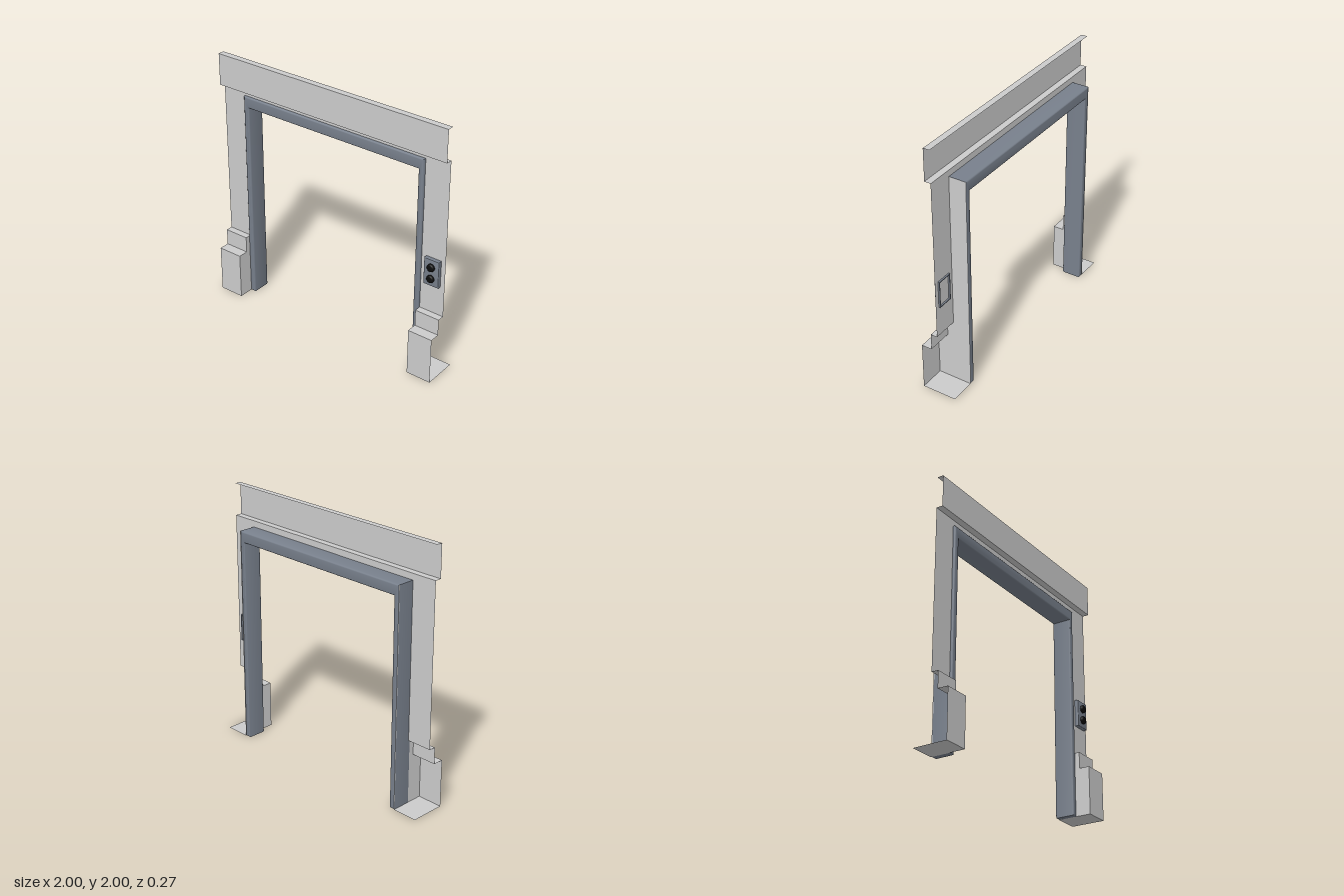
import * as THREE from 'three';
import { toCreasedNormals } from 'three/addons/utils/BufferGeometryUtils.js';

const grey = new THREE.MeshStandardMaterial({ color: 0xcccccc, side: THREE.DoubleSide });
const steel = new THREE.MeshStandardMaterial({ color: 0x78808c, side: THREE.DoubleSide });
const black = new THREE.MeshStandardMaterial({ color: 0x0c0c0c });

const BACK = -0.135;  // rear plane of the door frame
const INNER = 0.8;    // half width of the wall opening
const TOP = 1.704;    // top of the opening

function add(parent, name, geometry, material) {
  const mesh = new THREE.Mesh(geometry, material);
  mesh.name = name;
  parent.add(mesh);
  return mesh;
}

// Folded sheet: sweeps a [z, y] polyline along x, one flat quad per segment
function foldedSheet(profile, x0, x1) {
  const pos = [];
  for (let i = 0; i < profile.length - 1; i++) {
    const [za, ya] = profile[i], [zb, yb] = profile[i + 1];
    pos.push(x0, ya, za, x1, ya, za, x1, yb, zb, x0, ya, za, x1, yb, zb, x0, yb, zb);
  }
  const g = new THREE.BufferGeometry();
  g.setAttribute('position', new THREE.Float32BufferAttribute(pos, 3));
  g.computeVertexNormals();
  return g;
}

// Extrusion between two z planes with a rounded rim that stays inside the outline
function softExtrude(points, z0, z1, r) {
  const shape = new THREE.Shape(points.map(([x, y]) => new THREE.Vector2(x, y)));
  const g = new THREE.ExtrudeGeometry(shape, {
    depth: z1 - z0 - 2 * r, bevelThickness: r, bevelSize: r, bevelOffset: -r, bevelSegments: 4,
  });
  g.translate(0, 0, z0 + r);
  return toCreasedNormals(g, 0.6);
}

export function createModel() {
  const model = new THREE.Group();
  model.name = 'doorway';

  // Wall skin: stepped skirting, plain wall and projecting header
  const skirting = [[0.135, 0], [0.135, 0.373], [0.053, 0.373], [0.053, 0.503], [0, 0.503]];
  const post = [[BACK, 0], ...skirting, [0, TOP]];
  const header = [[0, TOP], [0, 1.752], [0.05, 1.752], [0.05, 2], [0, 2]];
  add(model, 'wallHeader', foldedSheet(header, -1, 1), grey);

  for (const [side, s] of [['left', 1], ['right', -1]]) {
    const wall = new THREE.Group();
    wall.name = side + 'Wall';
    model.add(wall);
    add(wall, side + 'WallSkin', foldedSheet(post, Math.min(s, s * INNER), Math.max(s, s * INNER)), grey);

    // Cheek closing the wall toward the opening
    const outline = [...post, [BACK, TOP]].map(([z, y]) => new THREE.Vector2(-z, y));
    const cheek = new THREE.ShapeGeometry(new THREE.Shape(outline)).rotateY(Math.PI / 2);
    cheek.translate(s * INNER, 0, 0);
    add(wall, side + 'WallCheek', cheek, grey);
  }

  // Door frame: one rounded U turned upside down
  const leg = 0.755, lintel = 1.617, l = -INNER - 0.0008, r = INNER - 0.0008;
  add(model, 'doorFrame', softExtrude([
    [l, 0], [-leg, 0], [-leg, lintel], [leg, lintel], [leg, 0], [r, 0], [r, TOP], [l, TOP],
  ], BACK - 0.001, 0.02, 0.012), steel);

  // Control panel: front plate with an open rim passing through the wall
  const panel = new THREE.Group();
  panel.name = 'controlPanel';
  panel.position.set(0.902, 0.847, 0);
  model.add(panel);
  const w = 0.0625, h = 0.107, t = 0.007;
  const rect = (a, b) => [[-a, -b], [a, -b], [a, b], [-a, b]];
  add(panel, 'panelPlate', softExtrude(rect(w, h), 0.002, 0.03, 0.005), steel);
  const rim = new THREE.Shape(rect(w, h).map(p => new THREE.Vector2(...p)));
  rim.holes.push(new THREE.Path(rect(w - t, h - t).map(p => new THREE.Vector2(...p))));
  const rimGeometry = new THREE.ExtrudeGeometry(rim, { depth: 0.023, bevelEnabled: false });
  add(panel, 'panelRim', rimGeometry.translate(0, 0, -0.013), steel);

  // Two domed push buttons
  const dome = [[0.03, 0], [0.03, 0.011], [0.027, 0.018], [0.02, 0.022], [0, 0.024]];
  const buttonGeometry = new THREE.LatheGeometry(dome.map(p => new THREE.Vector2(...p)), 32);
  buttonGeometry.rotateX(Math.PI / 2);
  for (const [name, y] of [['upButton', 0.046], ['downButton', -0.046]]) {
    add(panel, name, buttonGeometry, black).position.set(0, y, 0.029);
  }

  return model;
}
